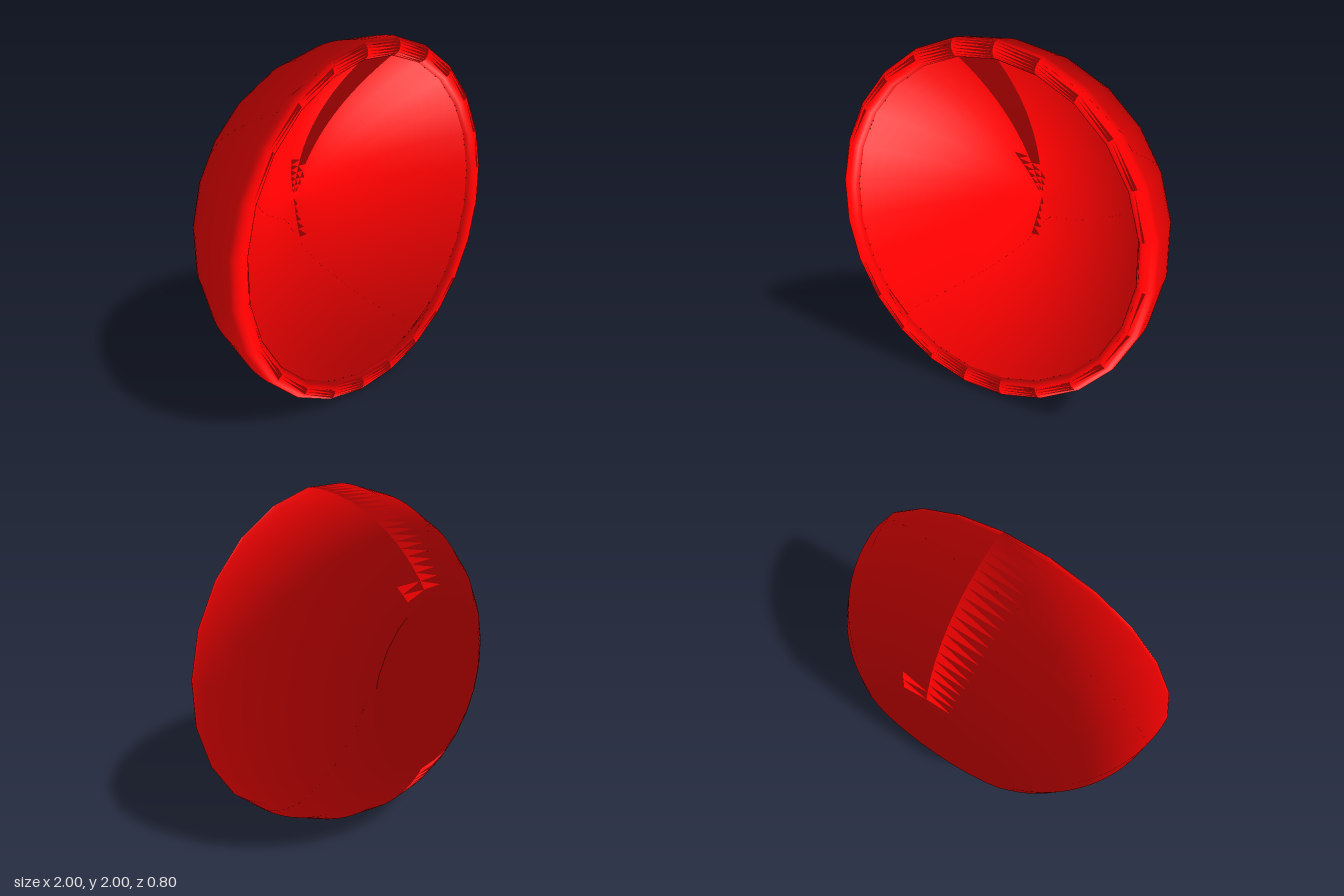
import * as THREE from 'three';

const SIDES = 24;
const OUTER = 1.008; // corner radius, so that the flats lie at 1
const TURN = Math.PI / SIDES + 0.01; // flats at top and bottom
const ARC = 0.8125; // radius of the wall's curve

export function createModel() {
  const group = new THREE.Group();
  group.name = 'bowl';
  const material = new THREE.MeshStandardMaterial({ color: 0xff0000 });
  const layOver = new THREE.Matrix4().makeRotationX(Math.PI / 2);

  // Lathe a [radius, z] profile and lay it over along z.
  // Only the positions turn: the shading keeps the upright bowl's normals.
  function addLathe(name, profile) {
    const points = profile.map(([r, z]) => new THREE.Vector2(r * OUTER, z));
    const geometry = new THREE.LatheGeometry(points, SIDES, TURN);
    geometry.attributes.position.applyMatrix4(layOver);
    const mesh = new THREE.Mesh(geometry, material);
    mesh.name = name;
    mesh.position.y = 1;
    group.add(mesh);
  }

  // Flat foot closing the back
  addLathe('base', [[0, -0.4], [0.5, -0.4]]);

  // Outer wall, an arc from the foot to the rim, then the rounded lip
  const wall = [];
  const start = Math.asin(0.75 / ARC);
  for (let i = 0; i <= 20; i++) {
    const a = start * (1 - i / 20);
    wall.push([1 - ARC + ARC * Math.cos(a), 0.35 - ARC * Math.sin(a)]);
  }
  for (let i = 1; i <= 10; i++) {
    const a = (Math.PI * i) / 10;
    wall.push([0.95 + 0.05 * Math.cos(a), 0.35 + 0.05 * Math.sin(a)]);
  }
  addLathe('outerWallAndRim', wall);

  // Hollow, a dish running down to a shallow point on the axis
  const hollow = [];
  for (let i = 0; i <= 20; i++) {
    const r = 0.9 * (1 - i / 20);
    hollow.push([r, -0.285 + 0.25 * r + 0.38 * r * r + 0.14 * r ** 3]);
  }
  addLathe('innerBowl', hollow);

  return group;
}
